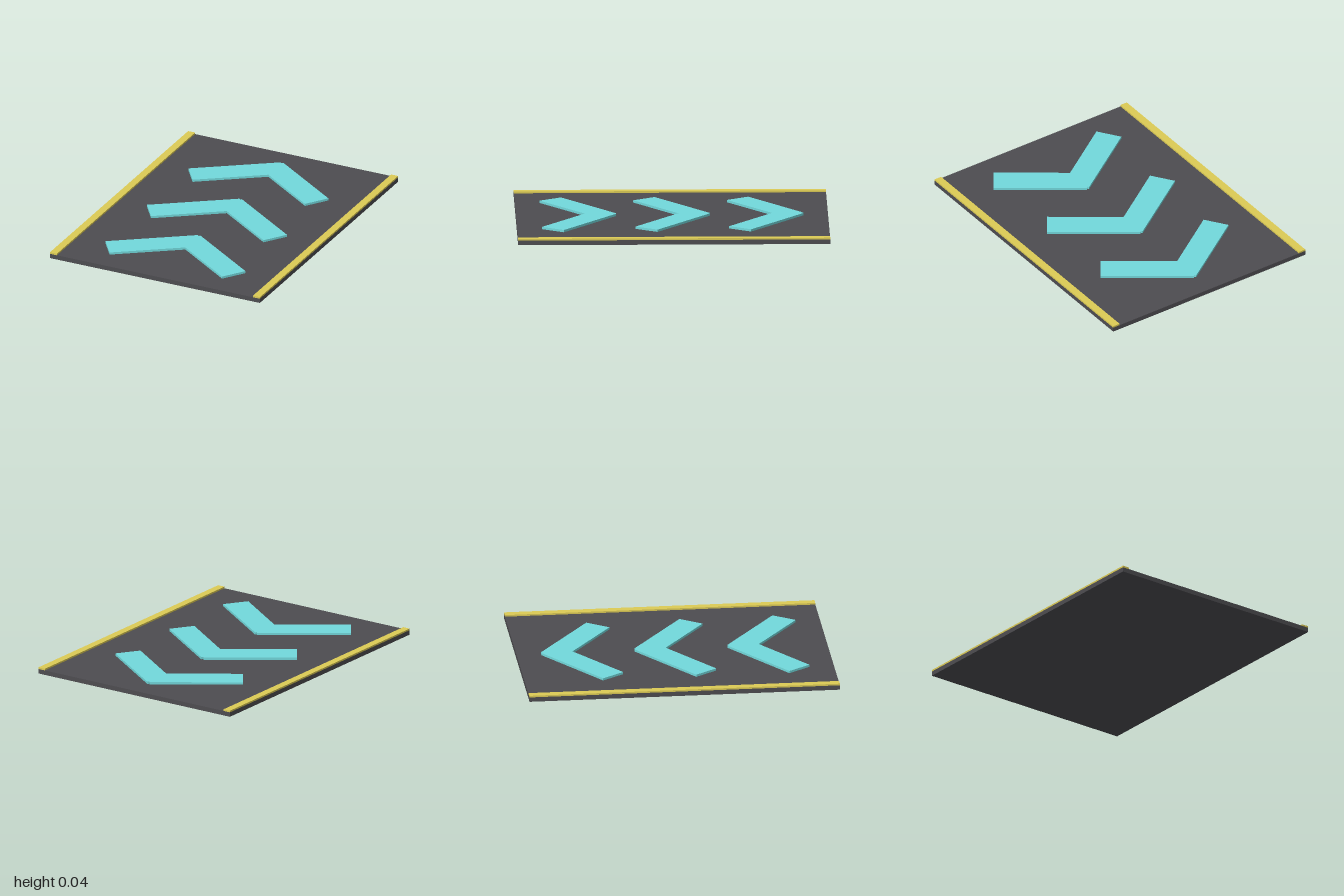
import * as THREE from 'three';

const paint = (color) => new THREE.MeshStandardMaterial({ color });

export function createModel() {
  const model = new THREE.Group();
  const add = (name, geometry, material, x, y, z) => {
    const mesh = new THREE.Mesh(geometry, material);
    mesh.name = name;
    mesh.position.set(x, y, z);
    model.add(mesh);
  };

  // Flat floor panel
  const baseTop = 0.03;
  add('basePanel', new THREE.BoxGeometry(1.5, baseTop, 2), paint(0x4d4c50), 0, baseTop / 2, 0);

  // Raised strips along both long edges
  const stripGeometry = new THREE.BoxGeometry(0.05, 0.011, 2);
  const yellow = paint(0xdccb55);
  for (const side of [1, -1]) {
    add(side > 0 ? 'leftEdgeStrip' : 'rightEdgeStrip', stripGeometry, yellow, side * 0.725, baseTop + 0.0055, 0);
  }

  // Chevron outline: two mirrored arms with a small notch at the tip
  const arm = [[0.008, 0.242], [0.5, -0.102], [0.402, -0.241]];
  const outline = [
    [0, 0.23], ...arm, [0, 0.041],
    ...arm.map(([x, y]) => [-x, y]).reverse(),
  ].map(([x, y]) => new THREE.Vector2(x, y));
  const chevronGeometry = new THREE.ExtrudeGeometry(new THREE.Shape(outline), { depth: 0.015, bevelEnabled: false });
  chevronGeometry.rotateX(-Math.PI / 2);

  // Three chevrons pointing to the back
  const teal = paint(0x72d9dc);
  ['back', 'middle', 'front'].forEach((place, i) => {
    add(place + 'Chevron', chevronGeometry, teal, 0, baseTop, (i - 1) * 0.6);
  });

  return model;
}
